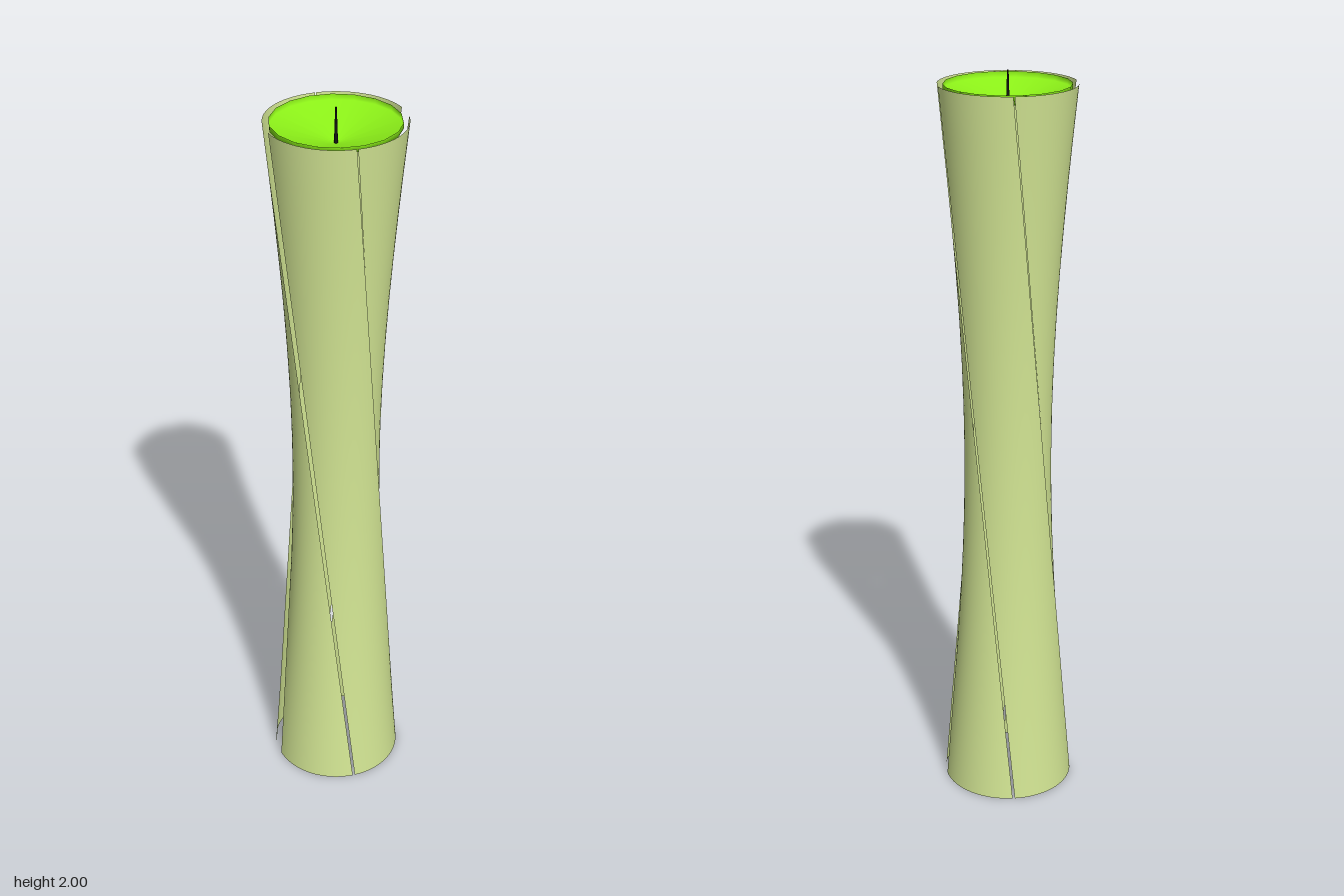
import * as THREE from 'three';

const HEIGHT = 1.967;
const RADIUS = 0.178;
const rad = THREE.MathUtils.degToRad;

// Thin ruled panel: straight lines joining a top arc to a twisted bottom arc
function ruledPanel(startDeg, endDeg, twistDeg, material) {
  const geo = new THREE.PlaneGeometry(1, 1, 20, 16);
  const pos = geo.attributes.position;
  for (let i = 0; i < pos.count; i++) {
    const u = pos.getX(i) + 0.5;
    const v = pos.getY(i) + 0.5;
    const top = rad(THREE.MathUtils.lerp(endDeg, startDeg, u));
    const bottom = top - rad(twistDeg);
    pos.setXYZ(
      i,
      RADIUS * THREE.MathUtils.lerp(Math.cos(bottom), Math.cos(top), v),
      HEIGHT * v,
      RADIUS * THREE.MathUtils.lerp(Math.sin(bottom), Math.sin(top), v)
    );
  }
  geo.computeVertexNormals();
  return new THREE.Mesh(geo, material);
}

export function createModel() {
  const model = new THREE.Group();
  const shellMat = new THREE.MeshStandardMaterial({ color: 0xd3e694, side: THREE.DoubleSide });
  const bowlMat = new THREE.MeshStandardMaterial({ color: 0x8cf018, side: THREE.DoubleSide });
  const wickMat = new THREE.MeshStandardMaterial({ color: 0x111111 });

  // Four twisted panels; the unequal twists leave long tapering slots between them
  for (const half of [0, 180]) {
    const wide = ruledPanel(9 + half, 90 + half, 98, shellMat);
    wide.name = 'sidePanel';
    const narrow = ruledPanel(91 + half, 171 + half, 82, shellMat);
    narrow.name = 'frontBackPanel';
    model.add(wide, narrow);
  }

  // Shallow conical bowl set in the mouth
  const profile = [[0, 1.907], [0.163, 1.952], [0.163, HEIGHT]].map(([r, y]) => new THREE.Vector2(r, y));
  const bowl = new THREE.Mesh(new THREE.LatheGeometry(profile, 18, rad(7)), bowlMat);
  bowl.name = 'bowl';
  model.add(bowl);

  // Tapered wick rising from the centre of the bowl
  const wick = new THREE.Mesh(new THREE.CylinderGeometry(0.002, 0.005, 0.093, 10), wickMat);
  wick.position.y = 1.9535;
  wick.name = 'wick';
  model.add(wick);

  return model;
}
